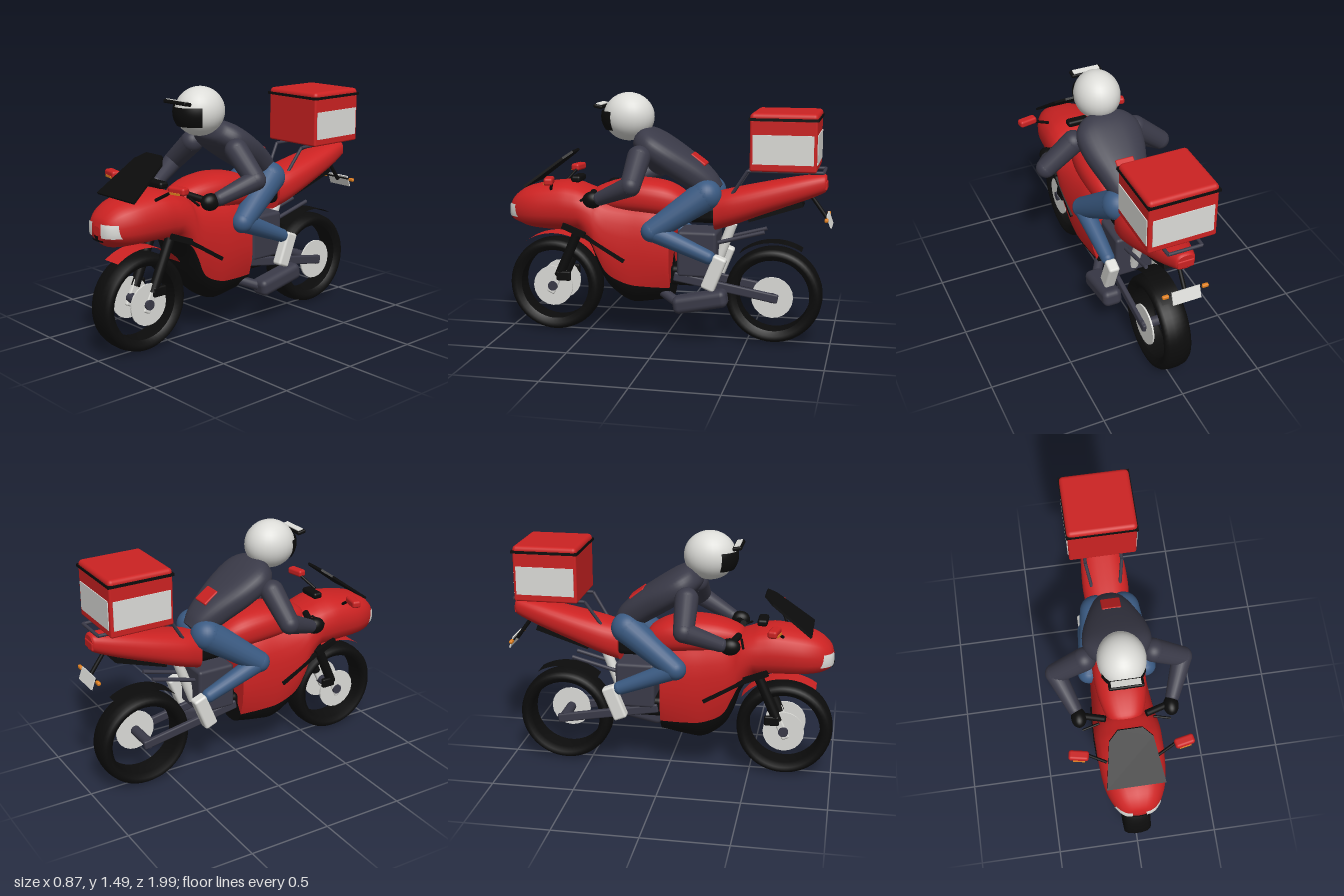
import * as THREE from 'three';
import { RoundedBoxGeometry } from 'three/addons/geometries/RoundedBoxGeometry.js';

const mat = (name, color, side = THREE.FrontSide) => Object.assign(new THREE.MeshStandardMaterial({ color, side }), { name });
const V = (x, y, z) => new THREE.Vector3(x, y, z);

// Smooth section table: [z, bottom, top, half width, colour split height], listed front to back
function sectionCurve(rows) {
  const data = rows.map(([z, b, t, w, m]) => [z, b, t, w, m ?? (b + t) / 2]);
  const f = new THREE.CubicInterpolant(data.map((_, i) => i), data.flat(), 5);
  return (t) => Array.from(f.evaluate(t));
}
const POWER = 2.5;
const bulge = (u) => Math.pow(Math.max(0, 1 - Math.pow(Math.abs(u), POWER)), 1 / POWER);

// Closed skin over the sections; group 0 lies below the split, group 1 above
function loft(rows, steps = 5, M = 8) {
  const at = sectionCurve(rows), n = (rows.length - 1) * steps, R = 4 * M;
  const pos = [], low = [], high = [];
  for (let i = 0; i <= n; i++) {
    const [z, b, t, w, m] = at(i / steps);
    const um = THREE.MathUtils.clamp((2 * m - b - t) / (t - b), -1, 0.9);
    for (let j = 0; j < R; j++) {
      const k = j <= 2 * M ? j : R - j;
      const u = k <= M ? -1 + (um + 1) * (1 - Math.cos((k / M) * Math.PI / 2))
        : um + (1 - um) * Math.sin(((k - M) / M) * Math.PI / 2);
      pos.push((j <= 2 * M ? 1 : -1) * w * bulge(u), (b + t) / 2 + u * (t - b) / 2, z);
    }
  }
  const isLow = (j) => j < M || j >= 3 * M;
  for (let i = 0; i < n; i++) for (let j = 0; j < R; j++) {
    const a = i * R + j, b = i * R + (j + 1) % R;
    (isLow(j) ? low : high).push(a, a + R, b, b, a + R, b + R);
  }
  // end caps with their own corners
  for (const i of [0, n]) {
    const [z, b, t] = at(i / steps), base = pos.length / 3;
    pos.push(...pos.slice(i * R * 3, (i + 1) * R * 3), 0, (b + t) / 2, z);
    for (let j = 0; j < R; j++) {
      const p = base + j, q = base + (j + 1) % R;
      (isLow(j) ? low : high).push(base + R, ...(i === 0 ? [p, q] : [q, p]));
    }
  }
  const g = new THREE.BufferGeometry();
  g.setAttribute('position', new THREE.Float32BufferAttribute(pos, 3));
  g.setIndex([...low, ...high]);
  g.addGroup(0, low.length, 0);
  g.addGroup(low.length, high.length, 1);
  g.computeVertexNormals();
  return g;
}

export function createModel() {
  const red = mat('red paint', 0xcc2222), black = mat('black', 0x0c0c0c, THREE.DoubleSide);
  const white = mat('light grey', 0xdcdcd8), slate = mat('slate', 0x3a3a48);
  const denim = mat('denim', 0x3a5a82), orange = mat('orange', 0xe08020);
  const redSheet = mat('red sheet', 0xcc2222, THREE.DoubleSide);
  const root = new THREE.Group();
  const add = (name, geo, m, p = [0, 0, 0], parent = root) => {
    const mesh = new THREE.Mesh(geo, m);
    mesh.name = name; mesh.position.set(...p); parent.add(mesh);
    return mesh;
  };
  const box = (name, size, p, m, r = 0) => add(name, r ? new RoundedBoxGeometry(...size, 3, r) : new THREE.BoxGeometry(...size), m, p);
  // Round rod between two points, and a box beam along a line
  const rod = (name, a, b, ra, rb, m) => {
    const A = V(...a), B = V(...b), d = B.clone().sub(A);
    const mesh = add(name, new THREE.CylinderGeometry(rb, ra, d.length(), 20), m, A.clone().add(B).multiplyScalar(0.5).toArray());
    mesh.quaternion.setFromUnitVectors(V(0, 1, 0), d.normalize());
    return mesh;
  };
  const beam = (name, a, b, w, h, m, r = 0) => {
    const A = V(...a), B = V(...b), len = A.distanceTo(B);
    const geo = r ? new RoundedBoxGeometry(w, h, len, 3, r) : new THREE.BoxGeometry(w, h, len);
    const mesh = new THREE.Mesh(geo, m);
    mesh.name = name; mesh.position.copy(A).add(B).multiplyScalar(0.5); mesh.lookAt(B); root.add(mesh);
  };
  const ball = (name, p, s, m) => add(name, new THREE.SphereGeometry(1, 28, 20), m, p).scale.set(...s);
  const limb = (name, a, b, ra, rb, m) => {
    rod(name, a, b, ra, rb, m);
    ball(name + 'Start', a, [ra, ra, ra], m); ball(name + 'End', b, [rb, rb, rb], m);
  };

  // Main fairing with black belly
  const bodyRows = [
    [0.985, 0.735, 0.79, 0.03, 0.735], [0.965, 0.69, 0.84, 0.095, 0.69], [0.9, 0.655, 0.895, 0.145, 0.655],
    [0.8, 0.64, 0.928, 0.18, 0.64], [0.65, 0.635, 0.95, 0.195, 0.635], [0.56, 0.635, 0.94, 0.197, 0.635],
    [0.5, 0.62, 0.92, 0.197, 0.65], [0.44, 0.53, 0.9, 0.195, 0.6], [0.4, 0.41, 0.88, 0.193, 0.52],
    [0.34, 0.3, 0.87, 0.19, 0.41], [0.22, 0.215, 0.86, 0.18, 0.35], [0.1, 0.22, 0.85, 0.172, 0.335], [-0.04, 0.245, 0.82, 0.16, 0.33]];
  add('fairing', loft(bodyRows), [black, red]);
  add('tank', loft([[0.46, 0.83, 0.89, 0.04], [0.42, 0.79, 0.925, 0.1], [0.3, 0.77, 0.965, 0.14], [0.15, 0.76, 0.98, 0.155],
    [0, 0.75, 0.96, 0.145], [-0.1, 0.76, 0.91, 0.11], [-0.14, 0.78, 0.86, 0.06]]), [red, red]);
  add('tail', loft([[-0.3, 0.68, 0.91, 0.125], [-0.42, 0.72, 0.94, 0.14], [-0.6, 0.79, 0.98, 0.13],
    [-0.8, 0.865, 1.02, 0.1], [-0.93, 0.92, 1.035, 0.065], [-0.955, 0.94, 1.025, 0.05]]), [red, red]);
  box('seat', [0.22, 0.12, 0.3], [0, 0.79, -0.17], black, 0.04);
  beam('tailUnderside', [0, 0.755, -0.5], [0, 0.86, -0.82], 0.12, 0.03, black);

  // Nose lights and vent laid on the fairing skin
  const skin = sectionCurve(bodyRows);
  const noseZ = (x, y) => {
    let lo = 0, hi = 4;
    for (let i = 0; i < 24; i++) {
      const t = (lo + hi) / 2, [, b, top, w] = skin(t);
      if (Math.abs(x) < w * bulge((2 * y - b - top) / (top - b))) hi = t; else lo = t;
    }
    return skin(hi)[0];
  };
  const nosePatch = (name, m, x0, x1, y0, y1, slant = 0) => {
    const g = new THREE.PlaneGeometry(1, 1, 8, 6), p = g.attributes.position;
    for (let i = 0; i < p.count; i++) {
      const v = p.getY(i) + 0.5, x = THREE.MathUtils.lerp(x0, x1, p.getX(i) + 0.5) * (1 - slant * v), y = y0 + (y1 - y0) * v;
      p.setXYZ(i, x, y, noseZ(x, y) + 0.006);
    }
    g.computeVertexNormals();
    add(name, g, m);
  };
  nosePatch('leftHeadlight', white, 0.042, 0.138, 0.73, 0.808, 0.06);
  nosePatch('rightHeadlight', white, -0.138, -0.042, 0.73, 0.808, 0.06);
  nosePatch('noseVent', black, -0.05, 0.05, 0.702, 0.714);
  nosePatch('noseVentCentre', black, -0.012, 0.012, 0.714, 0.738, -0.8);

  // Windscreen
  const screen = new THREE.Shape([[-0.17, 0], [0.17, 0], [0.125, 0.29], [0.07, 0.35], [-0.07, 0.35], [-0.125, 0.29]].map((p) => new THREE.Vector2(...p)));
  add('windscreen', new THREE.ExtrudeGeometry(screen, { depth: 0.014, bevelEnabled: false }), black, [0, 0.92, 0.85]).rotation.x = -0.927;
  box('instruments', [0.14, 0.04, 0.06], [0, 0.965, 0.56], black, 0.015);

  // Wheels and mudguards
  const tyre = [[0.218, -0.06], [0.245, -0.082], [0.27, -0.08], [0.285, -0.06], [0.292, -0.02], [0.292, 0.02], [0.285, 0.06],
    [0.27, 0.08], [0.245, 0.082], [0.218, 0.06], [0.218, -0.06]].map((p) => new THREE.Vector2(...p));
  const wheel = (name, z, discSides, guard, front, back) => {
    add(name + 'Tyre', new THREE.LatheGeometry(tyre, 56), black, [0, 0.297, z]).rotation.z = Math.PI / 2;
    rod(name + 'Axle', [-0.11, 0.297, z], [0.11, 0.297, z], 0.03, 0.03, slate);
    for (const s of discSides) rod(name + 'Disc', [s * 0.084, 0.297, z], [s * 0.094, 0.297, z], 0.125, 0.125, white).scale.set(1, 1, 1);
    const g = new THREE.CylinderGeometry(0.325, 0.325, 0.125, 28, 1, true, -front, front + back);
    // wrap the arc over the top of the wheel
    g.rotateZ(Math.PI / 2).rotateX(-Math.PI / 2);
    g.computeBoundingBox();
    if (g.boundingBox.max.y < 0.2) g.rotateX(Math.PI);
    const reach = (g.computeBoundingBox(), g.boundingBox.max.z > -g.boundingBox.min.z);
    if (reach !== front > back) g.rotateY(Math.PI);
    add(name + 'Mudguard', g, guard, [0, 0.297, z]);
  };
  wheel('front', 0.707, [1, -1], redSheet, 0.6, 0.94);
  wheel('rear', -0.655, [1], black, 0.68, 0.54);

  // Engine, exhaust and rear frame
  box('engine', [0.24, 0.28, 0.24], [0, 0.54, -0.2], slate, 0.02);
  box('gearbox', [0.2, 0.12, 0.18], [0, 0.4, -0.12], black, 0.03);
  box('muffler', [0.12, 0.105, 0.33], [0.17, 0.272, -0.235], slate, 0.035).rotation.x = 0.2;
  rod('exhaustPipe', [0.08, 0.3, 0.02], [0.16, 0.25, -0.1], 0.03, 0.03, slate);
  rod('shock', [0, 0.45, -0.3], [0, 0.72, -0.4], 0.03, 0.03, white);

  for (const s of [1, -1]) {
    const side = s > 0 ? 'left' : 'right';
    const P = (x, y, z) => [s * x, y, z];
    // Fork and brakes
    rod(side + 'ForkUpper', P(0.085, 0.7, 0.52), P(0.085, 0.36, 0.67), 0.03, 0.03, black);
    beam(side + 'ForkLower', P(0.083, 0.4, 0.655), P(0.083, 0.25, 0.725), 0.036, 0.05, white, 0.01);
    box(side + 'Caliper', [0.03, 0.06, 0.09], P(0.1, 0.365, 0.635), black, 0.01);
    // Swingarm and frame strut
    beam(side + 'Swingarm', P(0.1, 0.4, -0.06), P(0.1, 0.29, -0.69), 0.03, 0.055, slate, 0.01);
    rod(side + 'Strut', P(0.06, 0.61, -0.32), P(0.06, 0.685, -0.6), 0.012, 0.012, slate);
    // Fairing slots
    beam(side + 'UpperSlot', P(0.187, 0.7, 0.61), P(0.189, 0.645, 0.47), 0.025, 0.035, black);
    beam(side + 'LowerSlot', P(0.189, 0.64, 0.47), P(0.182, 0.495, 0.23), 0.022, 0.022, black);
    // Mirror
    const mirror = box(side + 'Mirror', [0.115, 0.045, 0.055], P(0.303, 0.99, 0.65), red, 0.015);
    mirror.rotation.y = s * 0.2;
    const lamp = box(side + 'MirrorLamp', [0.07, 0.012, 0.008], P(0.305, 0.976, 0.678), orange);
    lamp.rotation.y = s * 0.2;
    rod(side + 'MirrorStalk', P(0.25, 0.975, 0.65), P(0.15, 0.915, 0.69), 0.009, 0.009, black);
    // Handlebar and lever
    rod(side + 'Grip', P(0.12, 0.9, 0.43), P(0.3, 0.87, 0.37), 0.02, 0.02, black);
    rod(side + 'Lever', P(0.16, 0.89, 0.45), P(0.26, 0.87, 0.47), 0.007, 0.007, black);
    // Rider arm, glove, leg and shoe
    limb(side + 'UpperArm', P(0.2, 1.13, 0.13), P(0.373, 0.985, 0.14), 0.07, 0.06, slate);
    limb(side + 'Forearm', P(0.373, 0.985, 0.14), P(0.29, 0.895, 0.34), 0.06, 0.042, slate);
    ball(side + 'Glove', P(0.272, 0.88, 0.395), [0.045, 0.05, 0.06], black);
    limb(side + 'Thigh', P(0.085, 0.9, -0.25), P(0.175, 0.685, 0.06), 0.095, 0.065, denim);
    limb(side + 'Calf', P(0.175, 0.685, 0.06), P(0.16, 0.54, -0.28), 0.06, 0.042, denim);
    beam(side + 'Shoe', P(0.16, 0.545, -0.355), P(0.16, 0.345, -0.275), 0.068, 0.085, white, 0.015);
    // Rack rail
    rod(side + 'RackLeg', P(0.085, 0.9, -0.4), P(0.11, 1.055, -0.5), 0.01, 0.01, slate);
    rod(side + 'RackRail', P(0.11, 1.055, -0.5), P(0.1, 1.055, -0.94), 0.01, 0.01, slate);
    // Rear indicator and box side panel
    box(side + 'Indicator', [0.04, 0.022, 0.022], P(0.12, 0.782, -0.965), orange, 0.008);
    box(side + 'BoxPanel', [0.006, 0.17, 0.35], P(0.204, 1.195, -0.715), white);
  }

  // Delivery box
  box('deliveryBox', [0.405, 0.3, 0.385], [0, 1.217, -0.715], red, 0.012);
  box('boxSeal', [0.42, 0.016, 0.4], [0, 1.367, -0.715], black);
  box('boxLid', [0.41, 0.06, 0.39], [0, 1.373, -0.715], red, 0.025);
  box('boxRearPanel', [0.36, 0.17, 0.006], [0, 1.195, -0.909], white);
  rod('rackEnd', [-0.1, 1.055, -0.94], [0.1, 1.055, -0.94], 0.01, 0.01, slate);

  // Plate holder
  rod('plateArm', [0, 0.9, -0.87], [0, 0.77, -0.965], 0.012, 0.012, black);
  rod('indicatorBar', [-0.11, 0.785, -0.96], [0.11, 0.785, -0.96], 0.005, 0.005, black);
  box('plate', [0.17, 0.075, 0.008], [0, 0.765, -0.978], white).rotation.x = 0.35;
  box('tailLight', [0.1, 0.05, 0.02], [0, 0.97, -0.95], red, 0.008);

  // Rider torso, leaning forward
  const torso = new THREE.Group();
  torso.name = 'torso'; torso.position.set(0, 0.93, -0.28); torso.rotation.x = -0.63; root.add(torso);
  add('jacket', loft([[0.56, -0.04, 0.03, 0.07], [0.53, -0.08, 0.06, 0.14], [0.45, -0.1, 0.082, 0.195], [0.32, -0.1, 0.093, 0.19],
    [0.16, -0.09, 0.095, 0.145], [0.04, -0.08, 0.08, 0.105], [-0.03, -0.05, 0.05, 0.07]]), [slate, slate], [0, 0, 0], torso);
  add('backPatch', new RoundedBoxGeometry(0.115, 0.03, 0.11, 2, 0.008), red, [0, 0.085, 0.17], torso);

  // Helmet, visor and raised shade
  ball('helmet', [0, 1.35, 0.237], [0.138, 0.145, 0.155], white);
  add('visor', new THREE.SphereGeometry(1, 28, 12, Math.PI / 2 - 1.05, 2.1, 1.33, 0.8), black, [0, 1.35, 0.237]).scale.set(0.143, 0.148, 0.17);
  box('shade', [0.195, 0.022, 0.055], [0, 1.413, 0.405], black, 0.008).rotation.x = -0.2;
  box('shadeInset', [0.165, 0.006, 0.035], [0, 1.426, 0.403], white).rotation.x = -0.2;
  return root;
}
